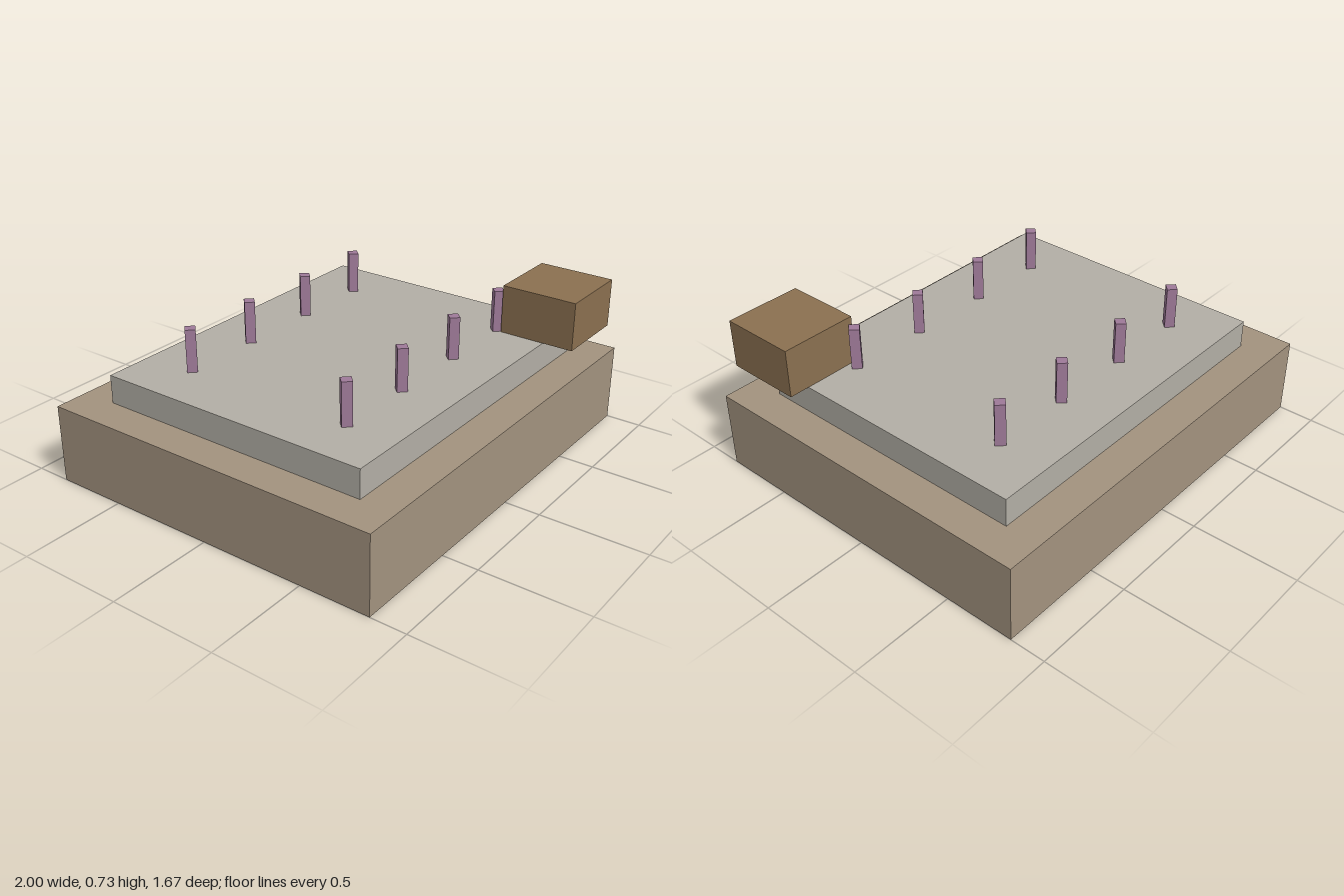
import * as THREE from 'three';

export function createModel() {
  const model = new THREE.Group();
  model.name = 'platform';

  const paint = (color) => new THREE.MeshStandardMaterial({ color, flatShading: true });

  // Box given by its size, centre and bottom height
  function addBox(name, [w, h, d], [x, bottom, z], color) {
    const mesh = new THREE.Mesh(new THREE.BoxGeometry(w, h, d), paint(color));
    mesh.name = name;
    mesh.position.set(x, bottom + h / 2, z);
    model.add(mesh);
  }

  // Stepped platform
  addBox('base', [2, 0.367, 1.667], [0, 0, 0], 0xa3937f);
  addBox('upperSlab', [1.667, 0.133, 1.333], [0, 0.367, 0], 0xb3afa6);

  // Crate overhanging the front left corner
  addBox('crate', [0.365, 0.23, 0.365], [0.75, 0.503, 0.633], 0x8b7050);

  // Two rows of four-sided posts, corners facing the front
  const posts = new THREE.Group();
  posts.name = 'posts';
  const postGeometry = new THREE.CylinderGeometry(0.033, 0.033, 0.2, 4);
  const postMaterial = paint(0x9f7a99);
  for (const z of [-0.417, 0.417]) {
    for (const x of [-0.585, -0.2, 0.2, 0.585]) {
      const post = new THREE.Mesh(postGeometry, postMaterial);
      post.name = 'post';
      post.position.set(x, 0.6, z);
      posts.add(post);
    }
  }
  model.add(posts);

  return model;
}
